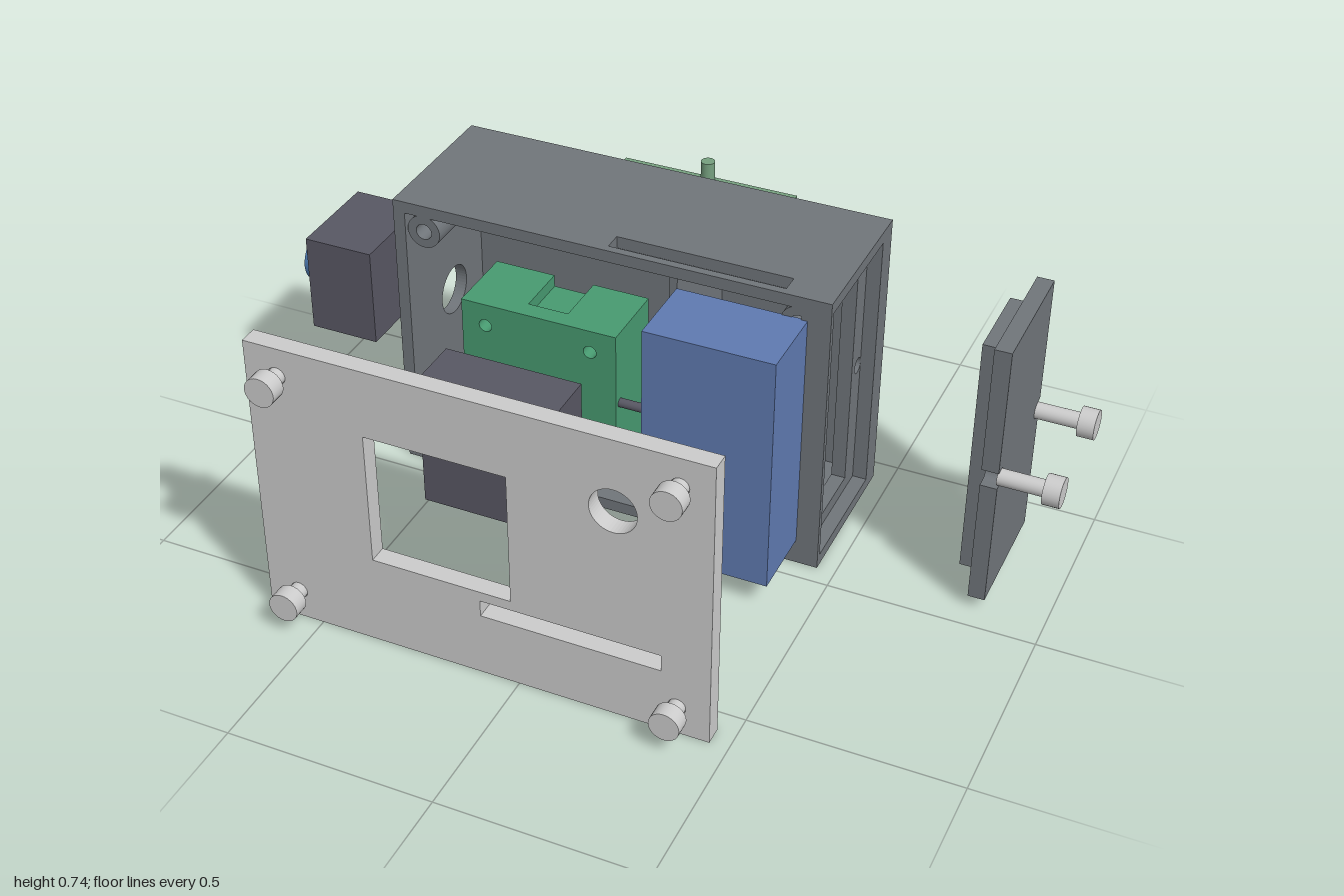
import * as THREE from 'three';

const mat = (color) => new THREE.MeshStandardMaterial({ color });
const GREY = mat(0xcccccc), SHELL = mat(0x70757a), DARK = mat(0x585763);
const BLUE = mat(0x5f7ab0), GREEN = mat(0x479a70), BOARD = mat(0x759f7e), LENS = mat(0x4a78ae);

// hole / outline helpers: rect and circle paths
function rect(x0, x1, y0, y1, Type = THREE.Path) {
  const p = new Type();
  p.moveTo(x0, y0); p.lineTo(x1, y0); p.lineTo(x1, y1); p.lineTo(x0, y1); p.closePath();
  return p;
}
function circle(x, y, r, Type = THREE.Path) {
  const p = new Type();
  p.absarc(x, y, r, 0, Math.PI * 2, false);
  return p;
}

export function createModel() {
  const model = new THREE.Group();

  const add = (parent, name, geo, material) => {
    const m = new THREE.Mesh(geo, material);
    m.name = name;
    parent.add(m);
    return m;
  };
  const group = (name) => {
    const g = new THREE.Group();
    g.name = name;
    model.add(g);
    return g;
  };
  // box given by its limits
  const box = (parent, name, x0, x1, y0, y1, z0, z1, material) => {
    const m = add(parent, name, new THREE.BoxGeometry(x1 - x0, y1 - y0, z1 - z0), material);
    m.position.set((x0 + x1) / 2, (y0 + y1) / 2, (z0 + z1) / 2);
    return m;
  };
  // plate extruded along an axis from a to b; outline is (x,y) for z, (-z,y) for x, (x,-z) for y
  const plate = (parent, name, axis, shape, holes, a, b, material) => {
    shape.holes.push(...holes);
    const geo = new THREE.ExtrudeGeometry(shape, { depth: b - a, bevelEnabled: false, curveSegments: 24 });
    geo.translate(0, 0, a);
    if (axis === 'x') geo.rotateY(Math.PI / 2);
    if (axis === 'y') geo.rotateX(-Math.PI / 2);
    return add(parent, name, geo, material);
  };
  const rod = (parent, name, r, length, axis, x, y, z, material) => {
    const m = add(parent, name, new THREE.CylinderGeometry(r, r, length, 28), material);
    if (axis === 'x') m.rotation.z = -Math.PI / 2;
    if (axis === 'z') m.rotation.x = Math.PI / 2;
    m.position.set(x, y, z);
    return m;
  };
  // screw whose head points along +y before turning, origin at the shaft tip
  const screw = (parent, axis, x, y, z) => {
    const s = new THREE.Group();
    s.name = 'screw';
    rod(s, 'screwShaft', 0.02, 0.107, 'y', 0, 0.0535, 0, GREY);
    rod(s, 'screwHead', 0.036, 0.04, 'y', 0, 0.127, 0, GREY);
    if (axis === 'x') s.rotation.z = -Math.PI / 2;
    else s.rotation.x = Math.PI / 2;
    s.position.set(x, y, z);
    parent.add(s);
  };

  const L = -0.635, R = 0.455, H = 0.735, F = -0.05, B = -0.445, T = 0.03;
  const corners = [];
  for (const x of [-0.557, 0.378]) for (const y of [0.075, 0.665]) corners.push([x, y]);

  // front cover with window, round hole, slot and corner screws
  const cover = group('frontCover');
  plate(cover, 'coverPlate', 'z', rect(L, R, 0, H, THREE.Shape), [
    rect(-0.355, -0.015, 0.23, 0.565), circle(0.23, 0.555, 0.055), rect(-0.09, 0.34, 0.163, 0.205),
    ...corners.map(([x, y]) => circle(x, y, 0.021)),
  ], 0.553, 0.598, GREY);
  for (const [x, y] of corners) screw(cover, 'z', x, y, 0.522);

  // display module
  box(model, 'display', -0.35, -0.015, 0.237, 0.57, 0.233, 0.365, DARK);

  // battery
  box(model, 'battery', 0.085, 0.40, 0.065, 0.677, -0.055, 0.136, BLUE);

  // control board: drilled block, notched at the top, with leads
  const control = group('controlBoard');
  const outline = new THREE.Shape();
  [[-0.40, 0.215], [-0.01, 0.215], [-0.01, 0.59], [-0.15, 0.59], [-0.15, 0.56], [-0.25, 0.56],
    [-0.25, 0.59], [-0.40, 0.59]].forEach(([x, y], i) => (i ? outline.lineTo(x, y) : outline.moveTo(x, y)));
  const boardHoles = () => [-0.34, -0.075].flatMap((x) => [0.275, 0.533].map((y) => circle(x, y, 0.016)));
  plate(control, 'boardBack', 'z', outline, boardHoles(), -0.115, 0.02, GREEN);
  plate(control, 'boardFront', 'z', rect(-0.40, -0.01, 0.215, 0.59, THREE.Shape), boardHoles(), 0.02, 0.065, GREEN);
  rod(control, 'boardLead', 0.011, 0.17, 'y', -0.2, 0.138, 0.047, GREEN);
  rod(control, 'sideLead', 0.011, 0.1, 'x', 0.036, 0.4, 0.043, DARK);

  // housing: open at the front and on its left side
  const housing = group('housing');
  plate(housing, 'topWall', 'y', rect(L, R, -F, -B, THREE.Shape), [rect(-0.09, 0.34, 0.07, 0.115)], H - T, H, SHELL);
  plate(housing, 'bottomWall', 'y', rect(L, R, -F, -B, THREE.Shape), [
    rect(-0.28, -0.12, 0.195, 0.245), rect(0.205, 0.275, 0.278, 0.294), rect(0.225, 0.295, 0.177, 0.193),
  ], 0, T, SHELL);
  plate(housing, 'backWall', 'z', rect(L, R, T, H - T, THREE.Shape), [
    rect(0.265, 0.335, 0.66, 0.68), rect(-0.512, -0.442, 0.055, 0.075),
  ], B, B + T, SHELL);
  plate(housing, 'rightWall', 'x', rect(-F, -B - T, T, H - T, THREE.Shape), [
    circle(0.267, 0.37, 0.063), circle(0.23, 0.155, 0.025),
  ], L, L + T, SHELL);
  box(housing, 'sideFrontPost', 0.42, R, T, H - T, -0.065, F, SHELL);
  box(housing, 'sideRearPost', 0.42, R, T, H - T, B + T, -0.385, SHELL);
  plate(housing, 'sideLedge', 'x', rect(-F, -B - T, T, H - T, THREE.Shape), [
    rect(0.125, 0.325, 0.065, 0.675), circle(0.085, 0.37, 0.02), circle(0.365, 0.37, 0.02),
  ], 0.385, 0.42, SHELL);
  box(housing, 'divider', 0.03, 0.05, T, H - T, B + T, -0.14, SHELL);
  for (const [x, y] of corners) {
    plate(housing, 'screwBoss', 'z', circle(x, y, 0.042, THREE.Shape), [circle(x, y, 0.02)], -0.16, F - 0.002, SHELL);
  }

  // rear bracket: two rails with a rounded socket between them
  const bracket = group('rearBracket');
  for (const s of [-1, 1]) {
    const rail = new THREE.Shape();
    const cx = -0.09, cz = 0.567, gap = 0.023, r = 0.036, h = Math.sqrt(r * r - gap * gap);
    const a = Math.atan2(h, gap);
    rail.moveTo(cx + s * 0.06, -B);
    rail.lineTo(cx + s * 0.06, 0.632);
    rail.lineTo(cx + s * gap, 0.632);
    rail.lineTo(cx + s * gap, cz + h);
    for (let i = 1; i <= 12; i++) {
      const t = a - (2 * a * i) / 12;
      rail.lineTo(cx + s * r * Math.cos(t), cz + r * Math.sin(t));
    }
    rail.lineTo(cx + s * gap, -B);
    rail.closePath();
    plate(bracket, 'bracketRail', 'y', rail, [], 0.265, 0.475, SHELL);
  }

  // rear sensor board with its stub
  const rear = group('rearBoard');
  box(rear, 'rearPanel', -0.32, 0.14, 0.14, 0.605, -0.667, -0.632, BOARD);
  rod(rear, 'rearStub', 0.0175, 0.06, 'y', -0.09, 0.627, -0.6495, BOARD);

  // camera on the right side
  const camera = group('cameraModule');
  box(camera, 'cameraBody', -0.945, -0.765, 0.245, 0.5, -0.395, -0.14, DARK);
  rod(camera, 'lens', 0.061, 0.055, 'x', -0.9725, 0.37, -0.267, LENS);

  // left side cover with edge notches for its two screws
  const side = group('sideCover');
  const lid = new THREE.Shape();
  const mid = 0.37, n = 0.021;
  lid.moveTo(0.065, 0.03);
  lid.lineTo(0.385, 0.03);
  lid.lineTo(0.385, mid - n);
  lid.absarc(0.365, mid, n, -Math.PI / 2, Math.PI / 2, true);
  lid.lineTo(0.385, mid + n);
  lid.lineTo(0.385, 0.71);
  lid.lineTo(0.065, 0.71);
  lid.lineTo(0.065, mid + n);
  lid.absarc(0.085, mid, n, Math.PI / 2, -Math.PI / 2, true);
  lid.lineTo(0.065, mid - n);
  lid.closePath();
  plate(side, 'sidePanel', 'x', lid, [], 0.817, 0.857, SHELL);
  box(side, 'sidePanelInset', 0.775, 0.817, 0.065, 0.675, -0.33, -0.125, SHELL);
  for (const z of [-0.085, -0.365]) screw(side, 'x', 0.853, mid, z);

  return model;
}
